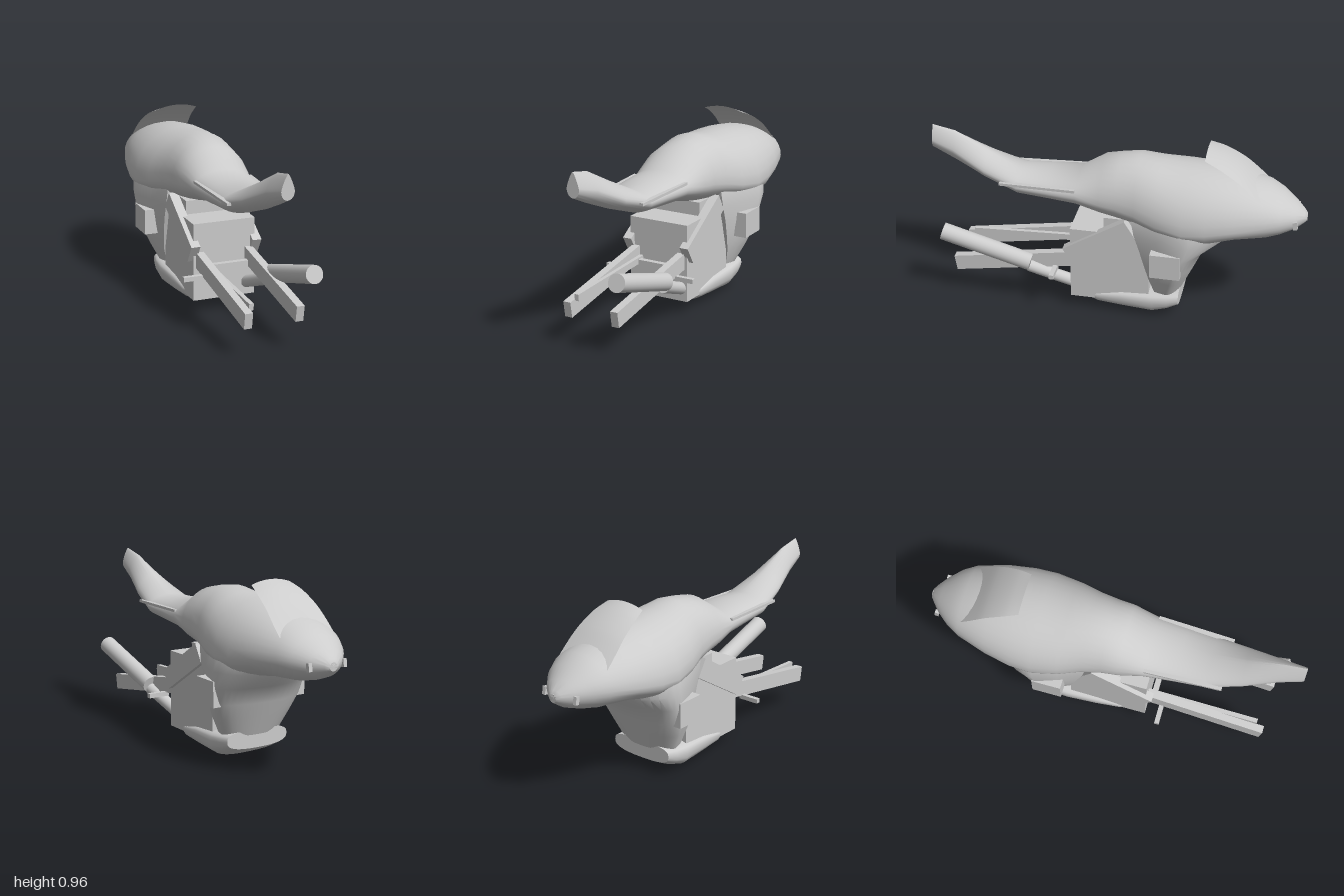
import * as THREE from 'three';
import { toCreasedNormals } from 'three/addons/utils/BufferGeometryUtils.js';

// Closed skin over rings of equal length; rings run counterclockwise seen from the first end
function loft(rings, crease = 0.75) {
  const n = rings[0].length, pos = [];
  const tri = (a, b, c) => [a, b, c].forEach(p => pos.push(p.x, p.y, p.z));
  const centre = r => r.reduce((s, p) => s.add(p), new THREE.Vector3()).divideScalar(n);
  const first = rings[0], last = rings[rings.length - 1];
  const c0 = centre(first), c1 = centre(last);
  for (let j = 0; j < n; j++) {
    const k = (j + 1) % n;
    for (let i = 0; i < rings.length - 1; i++) {
      const a = rings[i], b = rings[i + 1];
      tri(a[j], b[j], a[k]);
      tri(a[k], b[j], b[k]);
    }
    tri(c0, first[j], first[k]);
    tri(c1, last[k], last[j]);
  }
  const g = new THREE.BufferGeometry();
  g.setAttribute('position', new THREE.Float32BufferAttribute(pos, 3));
  return toCreasedNormals(g, crease);
}

// Ring across z: top, widest height, bottom, half width; k above 1 makes the top pointed
function ringZ([z, top, mid, bottom, hw, k = 1], kb = 1) {
  const pts = [];
  for (let j = 0; j < 32; j++) {
    const t = j / 32 * Math.PI * 2, c = Math.cos(t), s = Math.sin(t);
    const e = s > 0 ? k : kb;
    const y = Math.pow(Math.abs(s), e) * (s > 0 ? top - mid : bottom - mid);
    pts.push(new THREE.Vector3(hw * Math.sign(c) * Math.pow(Math.abs(c), e), mid + y, z));
  }
  return pts;
}

// Horizontal D-shaped ring: rear edge, widest z, nose z, half width, rear half width
function ringY([y, rear, wide, nose, hw, rearHw]) {
  const pts = [];
  for (let j = 0; j <= 18; j++) {
    const t = j / 18 * Math.PI;
    pts.push(new THREE.Vector3(hw * Math.cos(t), y, wide + (nose - wide) * Math.sin(t)));
  }
  const mz = (rear + wide) / 2, mx = hw * 0.55 + rearHw * 0.45;
  [[-mx, mz], [-rearHw, rear], [rearHw, rear], [mx, mz]].forEach(([x, z]) => pts.push(new THREE.Vector3(x, y, z)));
  return pts;
}

export function createModel() {
  const group = new THREE.Group();
  const grey = new THREE.MeshStandardMaterial({ color: 0xcccccc });
  grey.name = 'light grey';
  grey.side = THREE.DoubleSide;

  const add = (name, geometry) => {
    const mesh = new THREE.Mesh(geometry, grey);
    mesh.name = name;
    group.add(mesh);
    return mesh;
  };
  const box = (name, w, h, d, x, y, z, rx = 0) => {
    const m = add(name, new THREE.BoxGeometry(w, h, d));
    m.position.set(x, y, z);
    m.rotation.x = rx;
    return m;
  };
  const pipe = (name, from, to, r) => {
    const a = new THREE.Vector3(...from), b = new THREE.Vector3(...to);
    const m = add(name, new THREE.CylinderGeometry(r, r, a.distanceTo(b), 24));
    m.position.copy(a).add(b).multiplyScalar(0.5);
    m.quaternion.setFromUnitVectors(new THREE.Vector3(0, 1, 0), b.sub(a).normalize());
  };

  // Upper shell: tail, seat, tank and nose
  add('upperBody', loft([
    [1, 0.95, 0.865, 0.82, 0.035, 1.6],
    [0.88, 0.925, 0.83, 0.765, 0.06, 1.5],
    [0.7, 0.835, 0.745, 0.69, 0.107, 1.3],
    [0.52, 0.748, 0.69, 0.625, 0.142, 1.1],
    [0.36, 0.755, 0.685, 0.612, 0.153],
    [0.2, 0.765, 0.68, 0.6, 0.167],
    [0.07, 0.855, 0.67, 0.565, 0.193],
    [-0.02, 0.875, 0.66, 0.545, 0.2],
    [-0.12, 0.89, 0.64, 0.53, 0.217],
    [-0.24, 0.872, 0.61, 0.51, 0.255],
    [-0.38, 0.865, 0.59, 0.48, 0.28],
    [-0.5, 0.856, 0.6, 0.47, 0.275],
    [-0.64, 0.835, 0.62, 0.51, 0.25],
    [-0.8, 0.79, 0.64, 0.515, 0.2],
    [-0.87, 0.75, 0.64, 0.53, 0.16],
    [-0.94, 0.695, 0.63, 0.555, 0.1],
    [-0.985, 0.655, 0.625, 0.585, 0.045],
    [-1, 0.635, 0.62, 0.6, 0.025]
  ].map(r => ringZ(r))));

  // Lower fairing, open-edged towards the rear
  add('lowerFairing', loft([
    [0.7, -0.12, -0.38, -0.6, 0.22, 0.17],
    [0.62, -0.1, -0.38, -0.66, 0.272, 0.19],
    [0.51, -0.12, -0.375, -0.62, 0.281, 0.195],
    [0.42, -0.15, -0.36, -0.49, 0.276, 0.195],
    [0.33, -0.175, -0.34, -0.45, 0.26, 0.19],
    [0.24, -0.2, -0.315, -0.41, 0.222, 0.182],
    [0.14, -0.23, -0.29, -0.365, 0.172, 0.155]
  ].map(ringY)));

  // Belly pan
  add('bellyPan', loft([
    [0.17, 0.1, 0.09, 0.075, 0.15],
    [0.08, 0.12, 0.09, 0.028, 0.178],
    [-0.05, 0.145, 0.1, 0.016, 0.192],
    [-0.22, 0.155, 0.1, 0.004, 0.2],
    [-0.3, 0.162, 0.11, 0.035, 0.198],
    [-0.36, 0.167, 0.12, 0.068, 0.185]
  ].map(r => ringZ([...r, 0.6], 0.75))));

  // Curved windscreen, arched across and swept up
  const screen = new THREE.PlaneGeometry(2, 1, 12, 12);
  const path = new THREE.CatmullRomCurve3([[0.75, -0.79], [0.815, -0.72], [0.875, -0.65], [0.935, -0.55], [0.967, -0.47]]
    .map(([y, z]) => new THREE.Vector3(0, y, z)));
  const p = screen.attributes.position;
  for (let i = 0; i < p.count; i++) {
    const u = p.getX(i), v = p.getY(i) + 0.5, c = path.getPoint(v);
    const hw = 0.16 - 0.045 * v * v;
    p.setXYZ(i, u * hw, c.y - u * u * 0.02, c.z);
  }
  screen.computeVertexNormals();
  add('windscreen', screen);

  // Engine block and the raised part under the seat
  box('engineBlock', 0.345, 0.42, 0.425, 0, 0.286, 0.013);
  box('engineTop', 0.29, 0.08, 0.22, 0, 0.53, -0.06);
  box('fairingVents', 0.565, 0.137, 0.16, 0, 0.388, -0.3);

  for (const s of [1, -1]) {
    // Frame beams, swing arms and foot pegs
    box('frameBeam', 0.05, 0.108, 0.39, s * 0.172, 0.439, 0.068, 0.553);
    box('swingArm', 0.042, 0.085, 0.66, s * 0.137, 0.246, 0.545, 0.162);
    box('footPeg', 0.12, 0.024, 0.025, s * 0.202, 0.236, 0.312);
    // Tail strips and nose lamps
    box('tailStrip', 0.05, 0.014, 0.41, s * 0.128, 0.711, 0.405, 0.02).rotation.y = s * -0.04;
    box('noseLamp', 0.02, 0.042, 0.022, s * 0.103, 0.617, -0.945, 0.15);
    // Small triangular side fins
    const fin = [[0.21, 0.71, -0.24], [0.155, 0.775, -0.34], [0.195, 0.775, -0.36], [0.21, 0.738, -0.36]]
      .map(([x, y, z]) => [s * x, y, z]);
    const g = new THREE.BufferGeometry();
    g.setAttribute('position', new THREE.Float32BufferAttribute(
      [0, 1, 2, 0, 2, 3, 1, 3, 2, 0, 3, 1].flatMap(i => fin[i]), 3));
    g.computeVertexNormals();
    add('sideFin', g);
  }

  // Inner stay and cross brace between the arms
  box('chainStay', 0.024, 0.035, 0.64, -0.107, 0.262, 0.515, 0.04);
  box('crossBrace', 0.24, 0.03, 0.03, 0, 0.265, 0.26);

  // Exhaust on the left side
  pipe('silencer', [0.185, 0.407, 0.922], [0.17, 0.26, 0.447], 0.047);
  pipe('exhaustPipe', [0.165, 0.235, 0.455], [0.125, 0.13, 0.18], 0.033);

  // Round lamp on the nose tip
  pipe('noseTipLamp', [0, 0.618, -0.96], [0, 0.618, -1], 0.022);

  return group;
}
